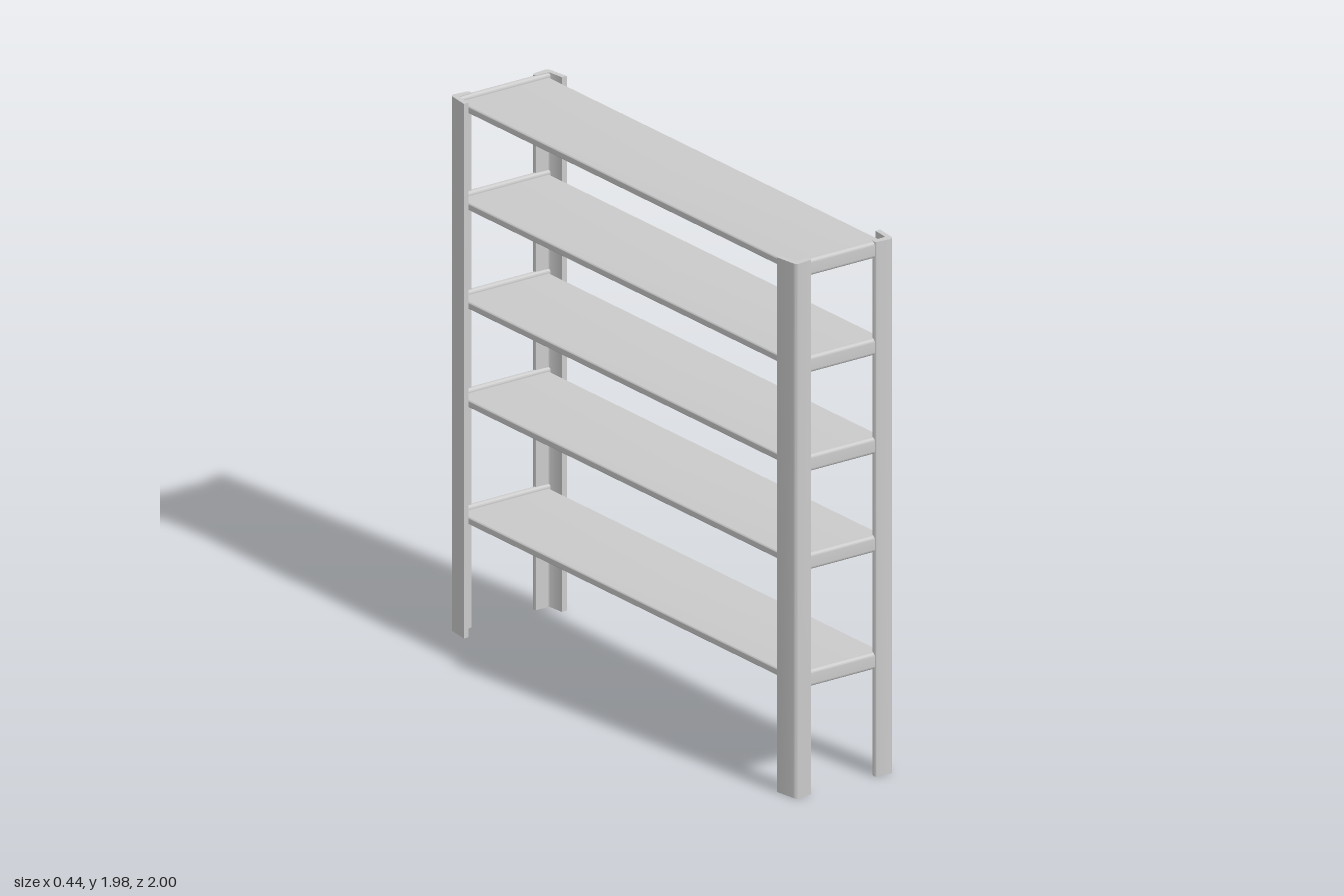
import * as THREE from 'three';
import { toCreasedNormals } from 'three/addons/utils/BufferGeometryUtils.js';

const material = new THREE.MeshStandardMaterial({ color: 0xcccccc });
const HEIGHT = 1.975;

// Rounded rectangle centred on the origin
function roundedRect(w, h, r) {
  const s = new THREE.Shape();
  const x = w / 2, y = h / 2;
  s.absarc(x - r, y - r, r, 0, Math.PI / 2);
  s.absarc(-x + r, y - r, r, Math.PI / 2, Math.PI);
  s.absarc(-x + r, -y + r, r, Math.PI, Math.PI * 1.5);
  s.absarc(x - r, -y + r, r, Math.PI * 1.5, Math.PI * 2);
  s.closePath();
  return s;
}

// Extrudes along z, centred
function extrude(shape, depth) {
  const g = new THREE.ExtrudeGeometry(shape, { depth, bevelEnabled: false, curveSegments: 5 });
  g.translate(0, 0, -depth / 2);
  return toCreasedNormals(g, 0.7);
}

function add(parent, geometry, name) {
  const mesh = new THREE.Mesh(geometry, material);
  mesh.name = name;
  parent.add(mesh);
  return mesh;
}

// Slightly splayed angle profile; the shape's y becomes z
function postGeometry() {
  const s = new THREE.Shape();
  s.moveTo(0.138, 0.972);
  s.lineTo(0.188, 0.97);
  s.quadraticCurveTo(0.194, 0.97, 0.195, 0.962);
  s.lineTo(0.2, 0.905);
  s.lineTo(0.221, 0.904);
  s.lineTo(0.211, 0.982);
  s.quadraticCurveTo(0.208, 0.997, 0.195, 0.998);
  s.lineTo(0.142, 0.992);
  s.quadraticCurveTo(0.136, 0.99, 0.135, 0.982);
  s.closePath();
  const g = extrude(s, HEIGHT);
  g.rotateX(Math.PI / 2);
  g.translate(0, HEIGHT / 2, 0);
  return g;
}

export function createModel() {
  const model = new THREE.Group();
  model.name = 'shelfRack';

  // Four corner posts
  const post = postGeometry();
  for (const sx of [1, -1]) {
    for (const sz of [1, -1]) {
      const name = (sz > 0 ? 'front' : 'back') + (sx > 0 ? 'Left' : 'Right') + 'Post';
      add(model, post, name).scale.set(sx, 1, sz);
    }
  }

  // Long boards with rounded edges, carried by a taller rail at each end
  const board = extrude(roundedRect(0.39, 0.03, 0.011), 1.95);
  const rail = extrude(roundedRect(0.024, 0.06, 0.011), 0.39).rotateY(Math.PI / 2);
  [0.425, 0.857, 1.22, 1.585, 1.943].forEach((y, i) => {
    const shelf = new THREE.Group();
    shelf.name = 'shelf' + (i + 1);
    shelf.position.y = y;
    add(shelf, board, 'board');
    for (const sz of [1, -1]) {
      add(shelf, rail, sz > 0 ? 'frontRail' : 'backRail').position.z = sz * 0.975;
    }
    model.add(shelf);
  });

  return model;
}
